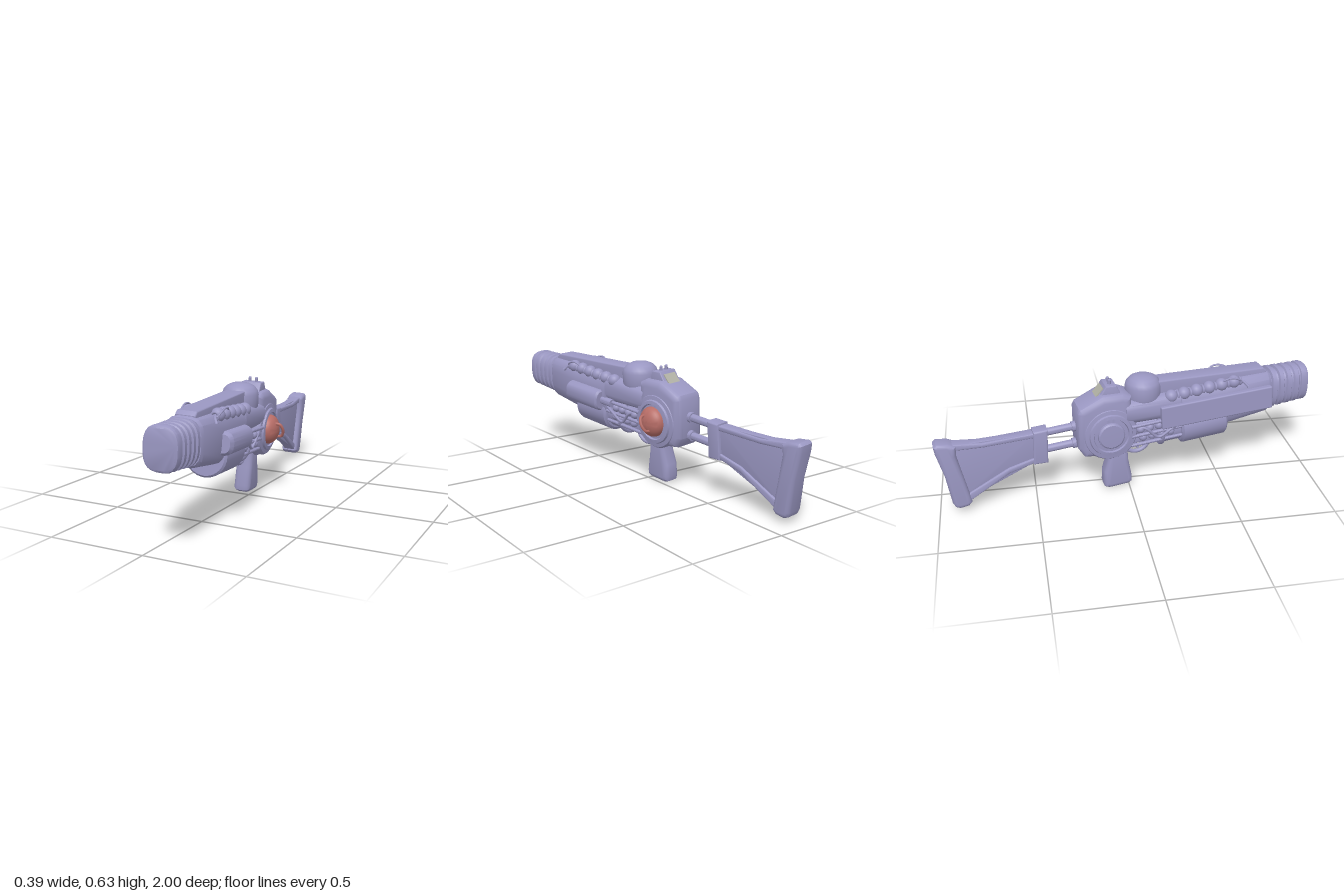
import * as THREE from 'three';
import { toCreasedNormals } from 'three/addons/utils/BufferGeometryUtils.js';
import { RoundedBoxGeometry } from 'three/addons/geometries/RoundedBoxGeometry.js';

const steel = new THREE.MeshStandardMaterial({ color: 0x9a97c2 });
const red = new THREE.MeshStandardMaterial({ color: 0xb76d67 });
const panel = new THREE.MeshStandardMaterial({ color: 0xb2b2a6 });
const V = (x, y, z) => new THREE.Vector3(x, y, z);

export function createModel() {
  const model = new THREE.Group();
  const gun = new THREE.Group();
  gun.name = 'gun';
  gun.rotation.set(0, 0.116, -0.05);
  gun.position.x = -0.044;
  model.add(gun);

  function add(name, geo, x = 0, y = 0, z = 0, mat = steel, pitch = 0) {
    const m = new THREE.Mesh(geo, mat);
    m.name = name;
    m.position.set(x, y, z);
    m.rotation.x = pitch;
    gun.add(m);
  }

  // Side outline given as [z, y], extruded across the width with bevelled edges
  function side(pts, width, bevel = 0.01) {
    const shape = new THREE.Shape(pts.map(p => new THREE.Vector2(p[0], p[1])));
    const g = new THREE.ExtrudeGeometry(shape, {
      depth: width - 2 * bevel, bevelSize: bevel, bevelThickness: bevel,
      bevelOffset: -bevel, bevelSegments: 3,
    });
    g.translate(0, 0, -(width / 2 - bevel));
    g.rotateY(-Math.PI / 2);
    return toCreasedNormals(g, 0.6);
  }

  // Skin over rounded sections [z, centreY, halfWidth, halfHeight], back to front
  function loft(sections, power, n, crease) {
    const pos = [], idx = [];
    const f = v => Math.sign(v) * Math.pow(Math.abs(v), 2 / power);
    for (const [z, cy, hw, hh] of sections)
      for (let i = 0; i < n; i++) {
        const a = (i + 0.5) / n * Math.PI * 2;
        pos.push(hw * f(Math.cos(a)), cy + hh * f(Math.sin(a)), z);
      }
    const last = sections.length - 1;
    for (let s = 0; s < last; s++)
      for (let i = 0; i < n; i++) {
        const j = (i + 1) % n, a = s * n + i, b = s * n + j;
        idx.push(a, b, b + n, a, b + n, a + n);
      }
    for (let i = 1; i < n - 1; i++) {
      idx.push(0, i + 1, i);
      idx.push(last * n, last * n + i, last * n + i + 1);
    }
    const g = new THREE.BufferGeometry();
    g.setAttribute('position', new THREE.Float32BufferAttribute(pos, 3));
    g.setIndex(idx);
    return toCreasedNormals(g, crease);
  }

  // Turned part from [radius, height]; dir +1 or -1 points it to that side in x, 0 up
  function turned(pts, dir, n = 40) {
    const g = new THREE.LatheGeometry(pts.map(p => new THREE.Vector2(p[0], p[1])), n);
    g.rotateZ(-dir * Math.PI / 2);
    return toCreasedNormals(g, 0.6);
  }
  const tube = (pts, r, seg = 40) =>
    new THREE.TubeGeometry(new THREE.CatmullRomCurve3(pts), seg, r, 8);
  const rod = (r, len, n = 20) =>
    toCreasedNormals(new THREE.CylinderGeometry(r, r, len, n).rotateX(Math.PI / 2), 0.6);

  // Barrel housing, lower at the shoulders towards the back
  add('barrelHousing', loft([
    [-0.03, 0.445, 0.1, 0.065], [0.26, 0.463, 0.105, 0.075], [0.27, 0.418, 0.108, 0.122],
    [0.52, 0.428, 0.105, 0.132], [0.76, 0.455, 0.097, 0.118], [0.775, 0.457, 0.088, 0.108],
  ], 3.2, 16, 0.6));

  // Ribbed muzzle with a closed, rounded cap
  const muzzle = [[0.74, 0.457, 0.079, 0.098]];
  for (let i = 0; i < 4; i++) {
    const z = 0.782 + i * 0.043, y = 0.46 + i * 0.003, w = 0.09 - i * 0.001, h = 0.11 - i * 0.002;
    muzzle.push([z, y, 0.079, 0.097], [z + 0.006, y, w, h], [z + 0.028, y, w, h], [z + 0.034, y, 0.079, 0.097]);
  }
  muzzle.push([0.953, 0.472, 0.078, 0.096], [0.957, 0.472, 0.085, 0.103],
    [0.985, 0.473, 0.085, 0.103], [0.995, 0.473, 0.081, 0.099], [1.0, 0.473, 0.072, 0.09]);
  add('muzzle', loft(muzzle, 2.75, 24, 0.5));

  // Top rail and dome
  add('topRail', side([[0.05, 0.47], [0.05, 0.592], [0.74, 0.592], [0.76, 0.575], [0.76, 0.52]], 0.1, 0.008));
  add('topDome', turned([[0.078, 0.47], [0.088, 0.49], [0.094, 0.51], [0.094, 0.568], [0.088, 0.588],
    [0.07, 0.607], [0.045, 0.619], [0, 0.624]], 0, 24), 0, 0, 0.085);

  // Bead rows on both shoulders, each with a wire loop at the front end
  for (const s of [-1, 1]) {
    for (let i = 0; i < 6; i++) {
      const z = 0.215 + i * 0.069, y = 0.513 + i * 0.007;
      add('bead', new THREE.SphereGeometry(0.034, 20, 14), s * 0.073, y, z);
      add('beadCollar', new THREE.TorusGeometry(0.018, 0.007, 8, 20), s * 0.073, y, z + 0.035);
    }
    add('beadWire', tube([V(s * 0.065, 0.5, 0.15), V(s * 0.073, 0.513, 0.215), V(s * 0.073, 0.548, 0.56),
      V(s * 0.08, 0.545, 0.61), V(s * 0.1, 0.52, 0.635)], 0.008));
    add('wireLoop', tube([V(s * 0.07, 0.53, 0.48), V(s * 0.098, 0.57, 0.5), V(s * 0.1, 0.578, 0.54),
      V(s * 0.095, 0.56, 0.59), V(s * 0.075, 0.53, 0.61)], 0.005));
  }

  // Side plate on the right, rounded pod on the left
  add('sidePlate', new RoundedBoxGeometry(0.035, 0.125, 0.62, 2, 0.008), -0.105, 0.43, 0.46, steel, -0.06);
  add('sidePlateMount', new THREE.BoxGeometry(0.05, 0.08, 0.5), -0.08, 0.43, 0.45, steel, -0.06);
  add('sidePod', loft([[-0.14, 0, 0.045, 0.05], [-0.13, 0, 0.055, 0.058], [0.12, 0, 0.055, 0.058],
    [0.14, 0, 0.042, 0.045]], 2.5, 24, 0.6), 0.1, 0.407, 0.43, steel, -0.07);

  // Lower drum and its smaller rear stage
  const drum = new THREE.LatheGeometry([[0, -0.13], [0.097, -0.13], [0.11, -0.12], [0.11, 0.115],
    [0.1, 0.125], [0, 0.125]].map(p => new THREE.Vector2(...p)), 36).rotateX(Math.PI / 2);
  add('lowerDrum', toCreasedNormals(drum, 0.6), 0, 0.33, 0.4, steel, -0.08);
  add('drumRear', rod(0.085, 0.12, 32), 0, 0.315, 0.22, steel, -0.08);
  add('drumRing', new THREE.TorusGeometry(0.085, 0.014, 10, 36), 0, 0.312, 0.165, steel, -0.08);
  add('core', rod(0.06, 0.3, 24), 0, 0.335, 0.1);
  add('lowerFrame', side([[-0.02, 0.25], [0.2, 0.25], [0.2, 0.29], [-0.02, 0.29]], 0.07, 0.006));

  // Cage of bars, small beads and hoses between drum and receiver
  for (const s of [-1, 1]) {
    [0.39, 0.33, 0.275].forEach((y, k) =>
      add('cageBar', rod(0.009, 0.29, 10), s * (0.098 - k * 0.008), y, 0.14, steel, -0.08));
    for (let i = 0; i < 4; i++)
      for (let k = 0; k < 2; k++)
        add('cageBead', new THREE.SphereGeometry(0.023, 14, 10),
          s * (0.083 - k * 0.006), 0.355 - k * 0.05 + i * 0.004, 0.045 + i * 0.05 + k * 0.015);
    add('cageHose', tube([V(s * 0.07, 0.37, 0), V(s * 0.1, 0.36, 0.07), V(s * 0.095, 0.3, 0.14),
      V(s * 0.1, 0.34, 0.21), V(s * 0.09, 0.38, 0.29)], 0.008));
    add('hoseSocket', rod(0.022, 0.1, 16), s * 0.1, 0.395, 0.26, steel, -0.08);
  }

  // Receiver
  add('receiver', side([[0.005, 0.25], [0.005, 0.54], [-0.04, 0.56], [-0.15, 0.56], [-0.27, 0.502],
    [-0.282, 0.48], [-0.282, 0.28], [-0.25, 0.23], [-0.05, 0.212]], 0.18, 0.035));
  add('sightBase', side([[-0.035, 0.53], [-0.07, 0.602], [-0.125, 0.602], [-0.17, 0.53]], 0.11, 0.006));
  for (const x of [-0.018, 0.018])
    add('sightPeg', new THREE.CapsuleGeometry(0.008, 0.03, 4, 10), x, 0.605, -0.098);
  add('displayPanel', new THREE.BoxGeometry(0.075, 0.006, 0.06), 0, 0.566, -0.156, panel, -0.85);

  // Round housings on both receiver sides
  const housing = [[0.143, 0], [0.143, 0.082], [0.135, 0.094], [0.115, 0.097], [0.111, 0.107],
    [0.094, 0.11], [0.09, 0.1], [0, 0.1]];
  for (const s of [-1, 1]) add('roundHousing', turned(housing, s), 0, 0.35, -0.115);
  add('rightHub', turned([[0.072, 0.09], [0.07, 0.112], [0.062, 0.118], [0, 0.12]], -1), 0, 0.35, -0.115);
  const domePts = [];
  for (let i = 0; i <= 10; i++) {
    const a = i / 10 * Math.PI / 2;
    domePts.push([0.079 * Math.cos(a), 0.1 + 0.055 * Math.sin(a)]);
  }
  add('redDome', turned(domePts, 1), 0, 0.35, -0.11, red);
  add('redHandle', tube([V(0.13, 0.038, 0.018), V(0.165, 0.034, 0.016), V(0.178, 0.012, 0.006),
    V(0.178, -0.012, -0.006), V(0.165, -0.034, -0.016), V(0.13, -0.038, -0.018)], 0.008),
  0, 0.35, -0.11, red);

  // Trigger and guard
  add('triggerGuard', tube([V(0, 0.26, 0.115), V(0, 0.215, 0.105), V(0, 0.188, 0.07), V(0, 0.185, 0.03),
    V(0, 0.2, 0), V(0, 0.23, -0.02)], 0.011));
  add('trigger', tube([V(0, 0.26, 0.05), V(0, 0.23, 0.043), V(0, 0.205, 0.055)], 0.008, 12));

  // Grip
  add('grip', side([[-0.01, 0.24], [-0.005, 0.15], [0.013, 0.05], [0.01, 0.022], [-0.01, 0.01],
    [-0.115, 0.001], [-0.138, 0.01], [-0.144, 0.035], [-0.14, 0.1], [-0.115, 0.18], [-0.115, 0.24]], 0.09, 0.024));

  // Stock rods, clamp, recessed web, rims and butt
  for (const y of [0.378, 0.282]) {
    add('stockRod', rod(0.02, 0.24), 0, y, -0.36, steel, -0.08);
    add('rodCollar', rod(0.027, 0.02), 0, y + 0.005, -0.29, steel, -0.08);
  }
  add('stockClamp', side([[-0.43, 0.4], [-0.505, 0.395], [-0.512, 0.212], [-0.437, 0.212]], 0.078, 0.01));
  add('stockWeb', side([[-0.49, 0.385], [-0.95, 0.378], [-0.91, 0.06], [-0.87, 0.06], [-0.49, 0.225]], 0.042, 0.003));
  add('stockTopRim', side([[-0.49, 0.388], [-0.76, 0.374], [-0.93, 0.39], [-0.93, 0.355], [-0.76, 0.35],
    [-0.49, 0.362]], 0.066, 0.008));
  add('stockBottomRim', side([[-0.49, 0.25], [-0.64, 0.21], [-0.87, 0.09], [-0.87, 0.045], [-0.64, 0.18],
    [-0.49, 0.222]], 0.066, 0.008));
  add('butt', side([[-0.89, 0.38], [-0.93, 0.398], [-0.985, 0.403], [-1.0, 0.39], [-0.995, 0.35], [-0.962, 0.22],
    [-0.94, 0.06], [-0.928, 0.036], [-0.905, 0.026], [-0.86, 0.034], [-0.842, 0.052], [-0.848, 0.09],
    [-0.872, 0.21], [-0.895, 0.33]], 0.098, 0.02));
  return model;
}
